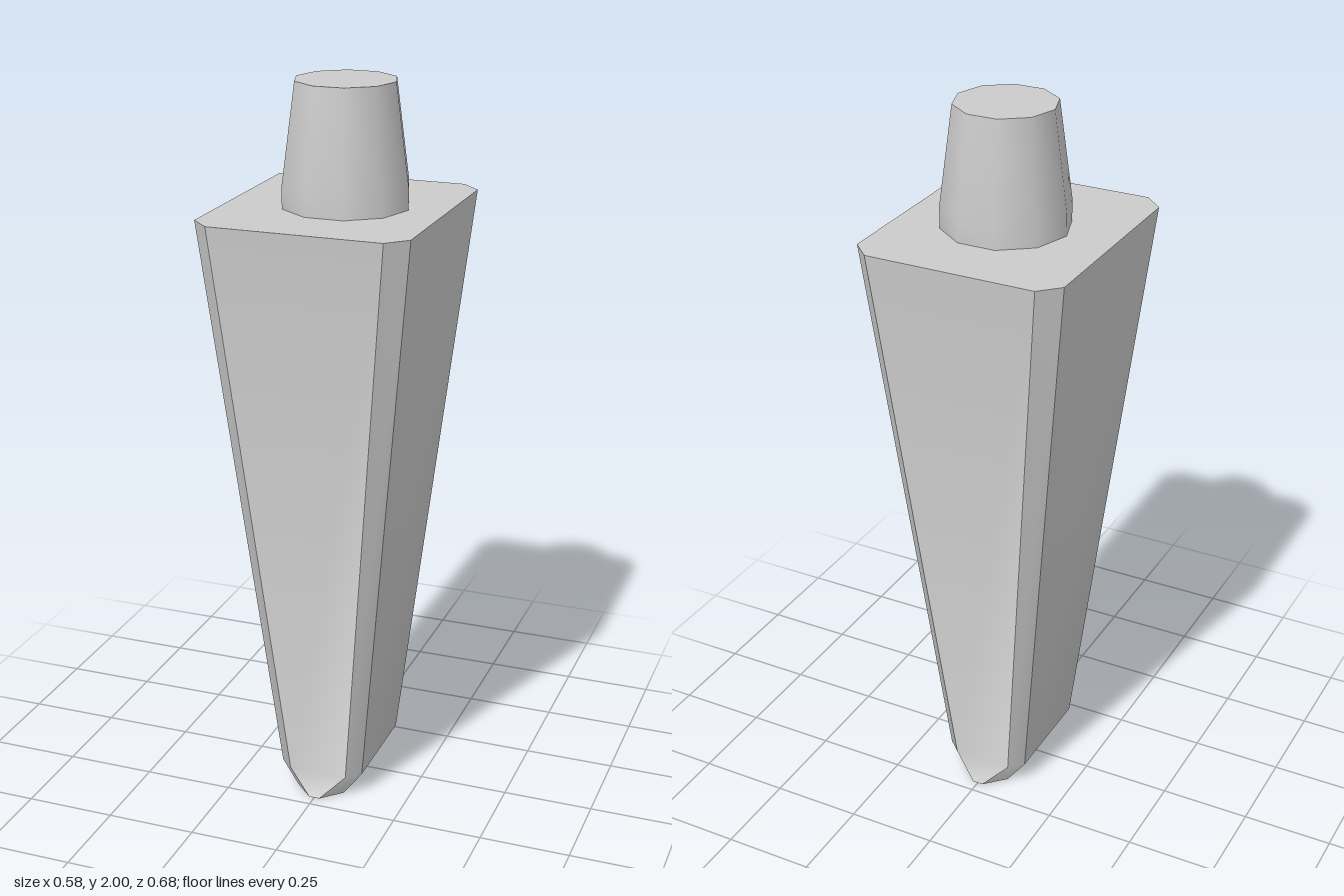
import * as THREE from 'three';
import { toCreasedNormals } from 'three/addons/utils/BufferGeometryUtils.js';

const material = new THREE.MeshStandardMaterial({ color: 0xcccccc });

// Octagonal ring: a rectangle with cut corners, counter-clockwise seen from below
function ring([y, x, xCut, z, zCut]) {
  return [
    [x, y, -zCut], [x, y, zCut], [xCut, y, z], [-xCut, y, z],
    [-x, y, zCut], [-x, y, -zCut], [-xCut, y, -z], [xCut, y, -z],
  ];
}

// Skin the rings from bottom to top and close both ends
function loft(sections) {
  const n = 8;
  const positions = sections.flatMap((s) => ring(s).flat());
  const index = [];
  for (let r = 0; r < sections.length - 1; r++) {
    for (let i = 0; i < n; i++) {
      const a = r * n + i, b = r * n + (i + 1) % n;
      index.push(a, a + n, b, b, a + n, b + n);
    }
  }
  const top = (sections.length - 1) * n;
  for (let i = 1; i < n - 1; i++) {
    index.push(0, i, i + 1);
    index.push(top, top + i + 1, top + i);
  }
  const geometry = new THREE.BufferGeometry();
  geometry.setAttribute('position', new THREE.Float32BufferAttribute(positions, 3));
  geometry.setIndex(index);
  return toCreasedNormals(geometry, 0.63);
}

function addPart(group, name, geometry) {
  const mesh = new THREE.Mesh(geometry, material);
  mesh.name = name;
  group.add(mesh);
  return mesh;
}

export function createModel() {
  const group = new THREE.Group();
  group.name = 'taperedPeg';

  // Tapered body with chamfered corners and a flared wedge tip
  // Each section: height, half width, cut width, half depth, cut depth
  addPart(group, 'taperedBody', loft([
    [0, 0.07, 0.015, 0.215, 0.16],
    [0.065, 0.12, 0.083, 0.185, 0.15],
    [1.67, 0.29, 0.237, 0.34, 0.287],
  ]));

  // Ten-sided stud, straight at the foot and tapering to a flat top
  const profile = [[0.173, 1.67], [0.173, 1.73], [0.137, 2], [0, 2]]
    .map(([r, y]) => new THREE.Vector2(r, y));
  const stud = new THREE.LatheGeometry(profile, 10, Math.PI / 2);
  addPart(group, 'topStud', toCreasedNormals(stud, 0.68)).position.x = 0.015;

  return group;
}
